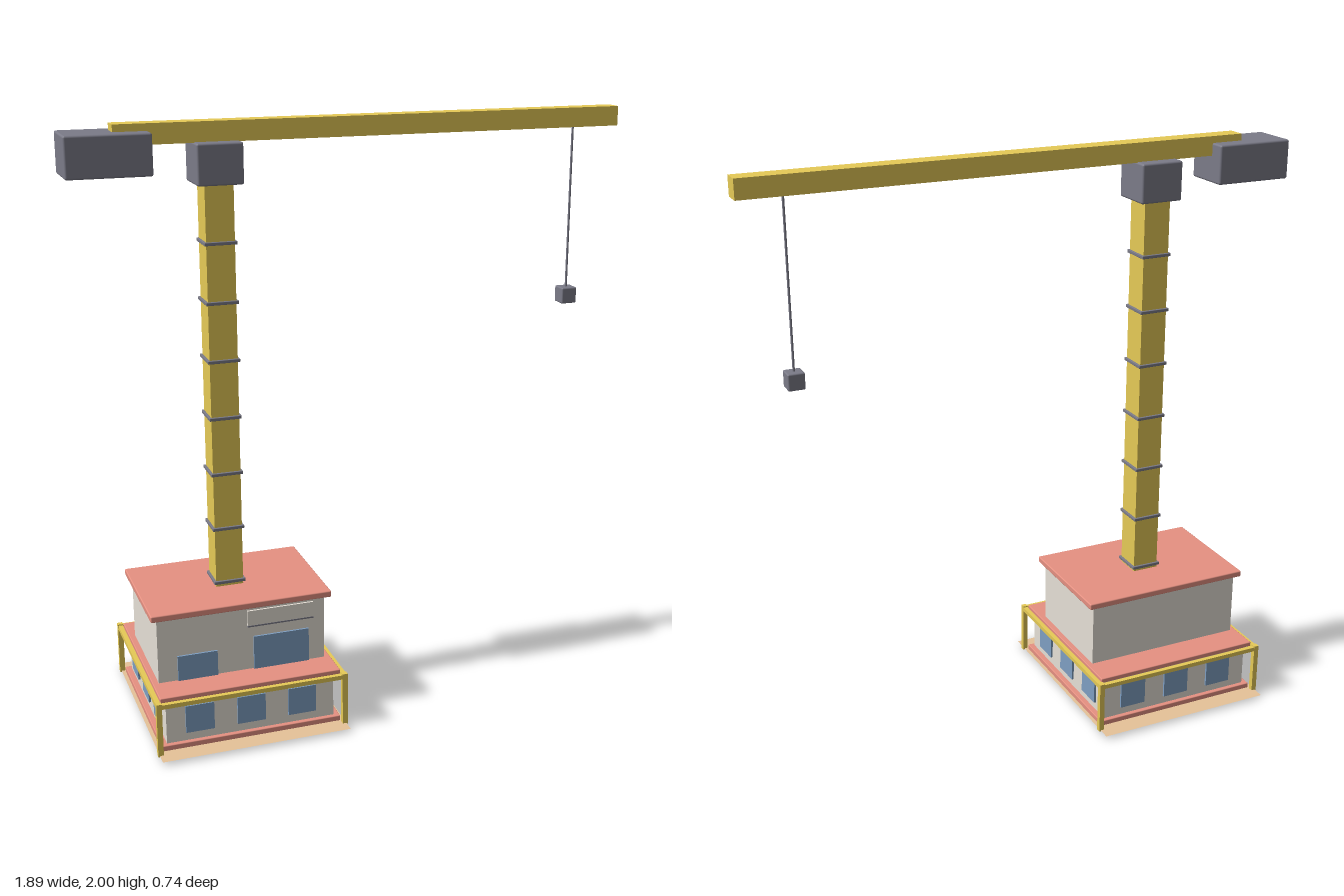
import * as THREE from 'three';
import { RoundedBoxGeometry } from 'three/addons/geometries/RoundedBoxGeometry.js';

const mat = (name, color) => {
  const m = new THREE.MeshStandardMaterial({ color });
  m.name = name;
  return m;
};

export function createModel() {
  const model = new THREE.Group();
  model.name = 'craneBuilding';
  const yellow = mat('craneYellow', 0xe6ca56);
  const steel = mat('steelGrey', 0x7b7b88);
  const wall = mat('wallGrey', 0xe6e0d6);
  const red = mat('roofRed', 0xe69182);
  const glass = mat('windowBlue', 0x7f9fc2);
  const tan = mat('deckTan', 0xe6c398);

  // Box from its lower and upper limits, with softened edges if a radius is given
  const box = (name, material, [x0, x1], [y0, y1], [z0, z1], radius = 0) => {
    const size = [x1 - x0, y1 - y0, z1 - z0];
    const geometry = radius
      ? new RoundedBoxGeometry(...size, 2, radius)
      : new THREE.BoxGeometry(...size);
    const mesh = new THREE.Mesh(geometry, material);
    mesh.position.set((x0 + x1) / 2, (y0 + y1) / 2, (z0 + z1) / 2);
    mesh.name = name;
    model.add(mesh);
  };
  const around = (c, h) => [c - h, c + h];
  const cx = -0.463; // centre of building and mast

  // Deck: thin sheet, tan above and red below
  for (const [name, material, turn, y] of [['deckTop', tan, -1, 0.012], ['deckUnderside', red, 1, 0.008]]) {
    const sheet = new THREE.Mesh(new THREE.PlaneGeometry(0.64, 0.735), material);
    sheet.rotation.x = turn * Math.PI / 2;
    sheet.position.set(cx, y, 0);
    sheet.name = name;
    model.add(sheet);
  }

  // Building: two storeys with slabs
  box('lowerStorey', wall, around(cx, 0.287), [0, 0.19], around(0, 0.285));
  box('baseSlab', red, around(cx, 0.307), [0.009, 0.03], around(0, 0.3), 0.003);
  box('lowerRoof', red, around(cx, 0.307), [0.185, 0.202], around(0, 0.3), 0.003);
  box('upperStorey', wall, around(cx, 0.287), [0.2, 0.43], around(0, 0.192));
  box('upperRoof', red, around(cx, 0.308), [0.428, 0.45], around(0, 0.21), 0.004);

  // Lower windows, three on each side
  for (const s of [-1, 1]) {
    for (const i of [-1, 0, 1]) {
      const y = [0.06, 0.156];
      box('lowerWindow', glass, around(cx + i * 0.175, 0.048), y, around(s * 0.288, 0.0045));
      box('lowerWindow', glass, around(cx + s * 0.29, 0.0045), y, around(i * 0.175, 0.048));
    }
  }

  // Upper front windows, wall panel and its dark lower edge
  box('smallWindow', glass, [-0.685, -0.55], [0.2, 0.29], [0.19, 0.199]);
  box('largeWindow', glass, [-0.425, -0.233], [0.2, 0.32], [0.19, 0.199]);
  box('wallPanel', wall, [-0.445, -0.215], [0.362, 0.415], [0.19, 0.199]);
  box('panelEdge', steel, [-0.445, -0.215], [0.357, 0.362], [0.191, 0.2]);

  // Railing: corner posts and top rails
  for (const s of [-1, 1]) {
    for (const t of [-1, 1]) {
      box('railPost', yellow, around(cx + s * 0.316, 0.009), [0.008, 0.195], around(t * 0.316, 0.009));
    }
    box('frontBackRail', yellow, around(cx, 0.324), [0.176, 0.191], around(s * 0.316, 0.008));
    box('sideRail', yellow, around(cx + s * 0.316, 0.008), [0.176, 0.191], around(0, 0.324));
  }

  // Mast with bands
  box('mast', yellow, around(cx, 0.047), [0.45, 1.81], around(0, 0.047));
  for (let i = 0; i < 7; i++) {
    box('mastBand', steel, around(cx, 0.054), around(0.465 + i * 0.1925, 0.0055), around(0, 0.054), 0.002);
  }

  // Crane head, jib and counterweight
  box('craneHead', steel, around(cx, 0.075), [1.805, 1.937], around(0, 0.075), 0.007);
  box('jib', yellow, [-0.787, 0.943], [1.935, 2], around(0, 0.032));
  box('counterweight', steel, [-0.945, -0.675], [1.845, 1.977], around(0, 0.085), 0.007);

  // Hanging cable and hook block
  const cable = new THREE.Mesh(new THREE.CylinderGeometry(0.004, 0.004, 0.56, 8), steel);
  cable.position.set(0.79, 1.66, 0);
  cable.name = 'cable';
  model.add(cable);
  box('hookBlock', steel, around(0.79, 0.028), [1.325, 1.381], around(0, 0.028), 0.005);

  return model;
}
